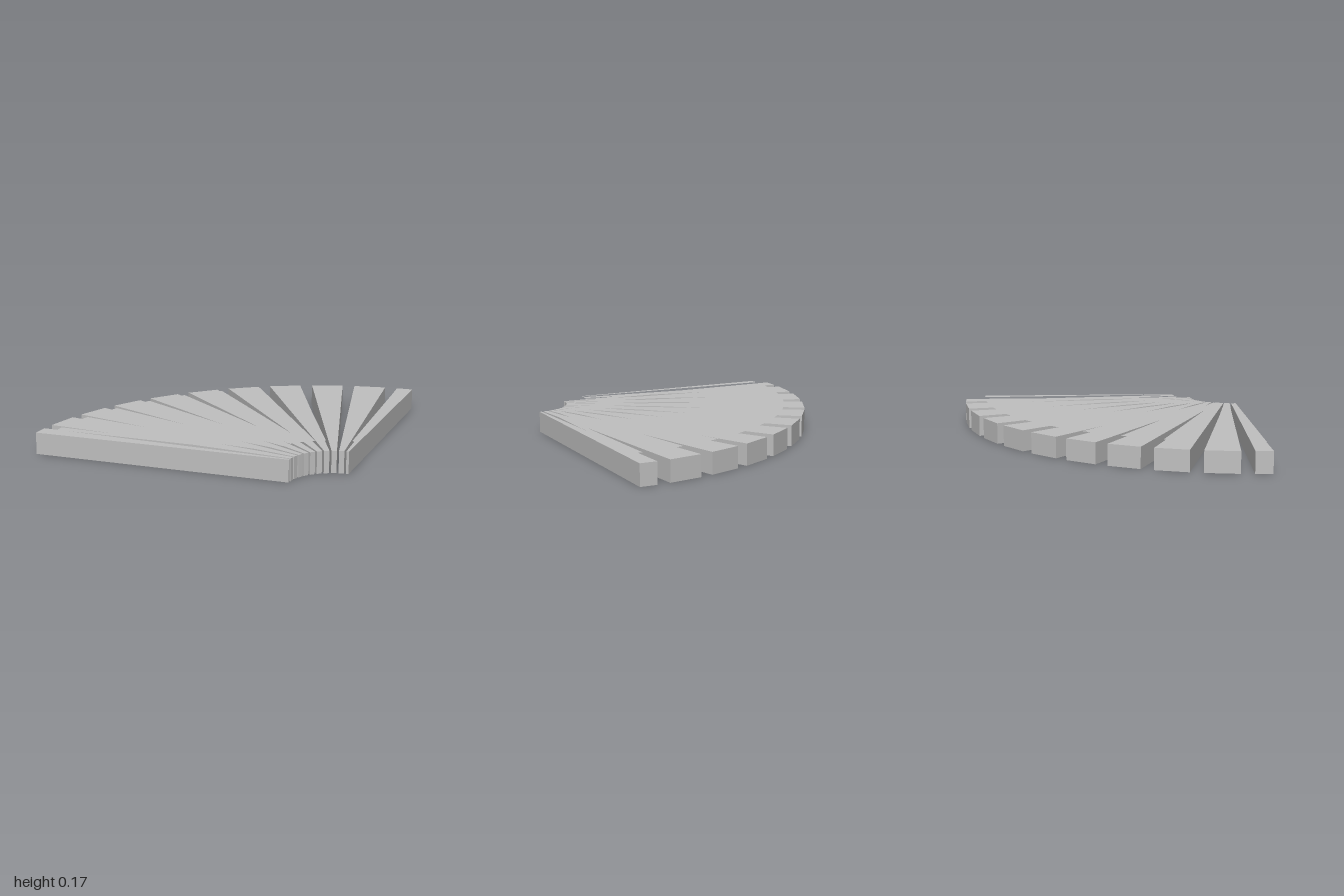
import * as THREE from 'three';

const COUNT = 11, STEP = 9;            // slats over a quarter circle, degrees apart
const HEIGHT = 0.143, PANEL_Y = 0.17;

// Tapered outline around the pivot corner; ends are square to the slat's centre line.
function wedge(centre, from, to, inner, outer) {
  const point = (dist, deg) => {
    const a = THREE.MathUtils.degToRad(deg);
    const r = dist / Math.cos(THREE.MathUtils.degToRad(deg - centre));
    return new THREE.Vector2(1 - r * Math.sin(a), -1 + r * Math.cos(a));
  };
  return new THREE.Shape([point(inner, from), point(outer, from), point(outer, to), point(inner, to)]);
}

export function createModel() {
  const group = new THREE.Group();
  group.name = 'slattedFan';
  const grey = new THREE.MeshStandardMaterial({ color: 0xc0c0c0, side: THREE.DoubleSide });
  grey.name = 'plain grey';

  const add = (geometry, name, y) => {
    geometry.rotateX(-Math.PI / 2);
    const mesh = new THREE.Mesh(geometry, grey);
    mesh.name = name;
    mesh.position.y = y;
    group.add(mesh);
  };

  for (let i = 0; i < COUNT; i++) {
    const c = i * STEP;
    const first = i === 0, last = i === COUNT - 1;

    // Slat: the two end ones are cut in half along their centre line
    const slat = wedge(c, first ? 0 : c - 3.25, last ? 90 : c + 3.25, 0.29, 2);
    add(new THREE.ExtrudeGeometry(slat, { depth: HEIGHT, bevelEnabled: false }), 'slat' + (i + 1), 0);

    // Thin panel hovering just over the slat
    const panel = wedge(c, first ? 0.6 : c - 2.6, last ? 89.4 : c + 2.6, 0.43, 1.856);
    add(new THREE.ShapeGeometry(panel), 'panel' + (i + 1), PANEL_Y);
  }
  return group;
}
